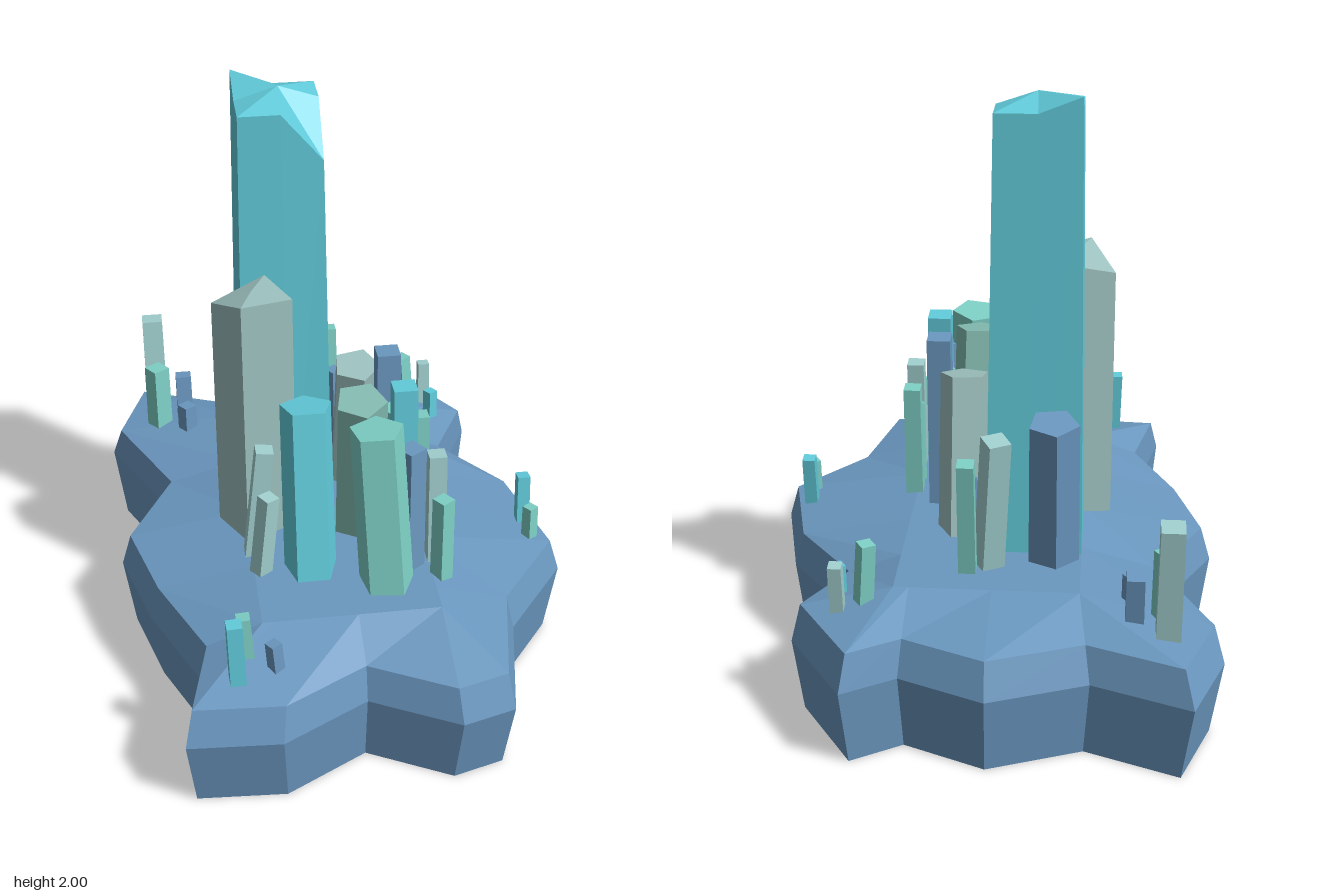
import * as THREE from 'three';

const material = (name, color) => {
  const m = new THREE.MeshStandardMaterial({ color, flatShading: true, side: THREE.DoubleSide });
  m.name = name;
  return m;
};

// Joins rings of points (listed clockwise from above) into faceted walls; a one-point ring closes to a tip.
function loft(rings) {
  const n = Math.max(...rings.map((r) => r.length));
  const at = (r, i) => r[r.length === 1 ? 0 : i % n];
  const out = [];
  const tri = (a, b, c) => {
    const same = (p, q) => p.every((v, k) => Math.abs(v - q[k]) < 1e-6);
    if (!same(a, b) && !same(b, c) && !same(a, c)) out.push(...a, ...b, ...c);
  };
  for (let k = 0; k < rings.length - 1; k++) {
    for (let i = 0; i < n; i++) {
      const a = at(rings[k], i), b = at(rings[k], i + 1);
      const c = at(rings[k + 1], i), d = at(rings[k + 1], i + 1);
      tri(a, c, b);
      tri(b, c, d);
    }
  }
  const g = new THREE.BufferGeometry();
  g.setAttribute('position', new THREE.Float32BufferAttribute(out, 3));
  g.computeVertexNormals();
  return g;
}

export function createModel() {
  const group = new THREE.Group();
  const rock = material('slateBlue', 0x6b98c0);
  const cyan = material('cyan', 0x62ccdc);
  const mint = material('mint', 0x7ed0c6);
  const pale = material('paleTeal', 0xa2d0d0);
  const sage = material('sage', 0x84bcb2);
  const grey = material('greyTeal', 0x9cc0be);

  const add = (name, geometry, mat) => {
    const mesh = new THREE.Mesh(geometry, mat);
    mesh.name = name;
    group.add(mesh);
    return mesh;
  };

  // Rock base: star-like outline, open underneath, with a raised plateau
  const outline = [
    [-0.68, -0.98], [-0.36, -0.855], [-0.04, -0.98], [0.24, -0.86], [0.41, -0.965],
    [0.61, -0.66], [0.48, -0.42], [0.69, -0.15], [0.78, 0.24], [0.55, 0.53],
    [0.47, 0.92], [0.29, 0.97], [0, 0.82], [-0.29, 0.975], [-0.6, 0.955],
    [-0.53, 0.65], [-0.68, 0.32], [-0.77, 0], [-0.6, -0.32], [-0.785, -0.7],
  ];
  const ring = (s, y) => outline.map(([x, z]) => [x * s, y, z * s]);
  const clamp = THREE.MathUtils.clamp;
  const plateau = ring(0.96, 0.46).map(([x, y, z]) => [clamp(x, -0.32, 0.28), y, clamp(z, -0.62, 0.61)]);
  add('rockBase', loft([ring(0.955, 0), ring(1, 0.27), ring(0.955, 0.39), plateau, [[0, 0.46, 0]]]), rock);

  // Main tower: square shaft with a broken, chamfered tip
  const square = [[-1, -1], [0, -1], [1, -1], [1, 0], [1, 1], [0, 1], [-1, 1], [-1, 0]];
  const tipHeights = [2, 1.945, 1.945, 1.945, 1.78, 1.945, 1.945, 1.945];
  const shaft = (w, d, y) => square.map(([x, z], i) => [-0.16 + x * w, y ?? tipHeights[i], -0.21 + z * d]);
  add('mainTower', loft([[[-0.16, 0.15, -0.21]], shaft(0.165, 0.152, 0.15), shaft(0.138, 0.13),
    [[-0.155, 1.99, -0.21]]]), cyan);

  // Second tower: turned square shaft with an uneven top
  const corners = [[-0.13, -0.045], [0.055, -0.12], [0.13, 0.045], [-0.045, 0.125]];
  const heights = [1.33, 1.38, 1.375, 1.4];
  const shaft2 = (s, y) => corners.map(([x, z], i) => [-0.28 + x * s, y ?? heights[i], 0.05 + z * s]);
  add('secondTower', loft([[[-0.28, 0.15, 0.05]], shaft2(1.03, 0.15), shaft2(1), [[-0.28, 1.39, 0.05]]]), grey);

  // Prism leaning by (leanX, leanZ) from its top down to its foot, continued below the surface
  const crystal = (name, mat, sides, radius, spin, [x, y, z], leanZ, leanX = 0) => {
    const top = new THREE.Vector3(x, y, z);
    const foot = new THREE.Vector3(x + leanX, 0.43, z + leanZ);
    const dir = top.clone().sub(foot).normalize();
    foot.addScaledVector(dir, -0.2);
    const geometry = new THREE.CylinderGeometry(radius, radius * 1.06, top.distanceTo(foot), sides);
    geometry.rotateY(spin);
    const mesh = add(name, geometry, mat);
    mesh.position.copy(top).add(foot).multiplyScalar(0.5);
    mesh.quaternion.setFromUnitVectors(new THREE.Vector3(0, 1, 0), dir);
  };

  // Large five-sided crystals
  crystal('largeCrystal', cyan, 5, 0.09, Math.PI, [-0.125, 1.05, 0.235], 0.115);
  crystal('largeCrystal', sage, 5, 0.09, 0.1, [0.06, 1.045, 0.22], -0.1, 0.01);
  crystal('largeCrystal', mint, 5, 0.092, 0.5, [0.085, 1.045, 0.395], 0.06, 0.035);
  crystal('largeCrystal', grey, 5, 0.085, 0.2, [0.09, 0.99, -0.085], -0.105);
  crystal('largeCrystal', rock, 5, 0.085, 3.3, [-0.225, 0.98, -0.46], 0.085);

  // Single square crystals
  const squareCrystal = (mat, side, turn, top, leanZ, leanX) =>
    crystal('smallCrystal', mat, 4, side * Math.SQRT1_2, Math.PI / 4 + turn, top, leanZ, leanX);
  squareCrystal(pale, 0.075, 0.5, [-0.045, 0.94, -0.52], 0.08, 0.03);
  squareCrystal(mint, 0.048, 0.6, [0.355, 0.64, -0.67], 0.01, 0.015);
  squareCrystal(cyan, 0.05, 0.05, [-0.425, 0.64, 0.81], 0.005, 0.005);

  // Pairs: a tall square crystal with a shorter, turned companion beside it
  const pair = (tallMat, shortMat, side, [x, y, z], shortX, shortZ, leanZ, leanX = 0) => {
    const shortY = 0.43 + (y - 0.43) * (y > 0.85 ? 0.76 : 0.6);
    squareCrystal(tallMat, side, 0, [x, y, z], leanZ, leanX);
    squareCrystal(shortMat, side * 0.88, 0.6, [shortX, shortY, shortZ], leanZ * 0.3, leanX * 0.7);
  };
  pair(pale, mint, 0.075, [-0.6, 0.805, -0.81], -0.595, -0.69, 0.045);
  pair(rock, rock, 0.058, [-0.495, 0.59, -0.73], -0.49, -0.61, 0.025);
  pair(pale, cyan, 0.043, [0.45, 0.58, -0.71], 0.46, -0.595, 0.02);
  pair(mint, rock, 0.055, [0.05, 0.87, -0.55], 0.055, -0.42, 0.065);
  pair(rock, mint, 0.08, [0.185, 1.09, -0.005], 0.19, 0.11, 0.035);
  pair(cyan, rock, 0.08, [0.205, 1.09, 0.22], 0.21, 0.355, 0.05);
  pair(mint, mint, 0.058, [0.29, 0.87, 0.07], 0.295, 0.185, 0.035);
  pair(pale, mint, 0.06, [0.305, 0.87, 0.31], 0.31, 0.425, 0.035);
  pair(pale, pale, 0.06, [-0.265, 0.87, 0.21], -0.265, 0.335, 0.02, -0.05);
  pair(cyan, mint, 0.044, [0.67, 0.58, 0.08], 0.675, 0.19, 0.02);
  pair(mint, rock, 0.045, [-0.39, 0.58, 0.71], -0.3, 0.78, 0.01, 0.01);
  return group;
}
